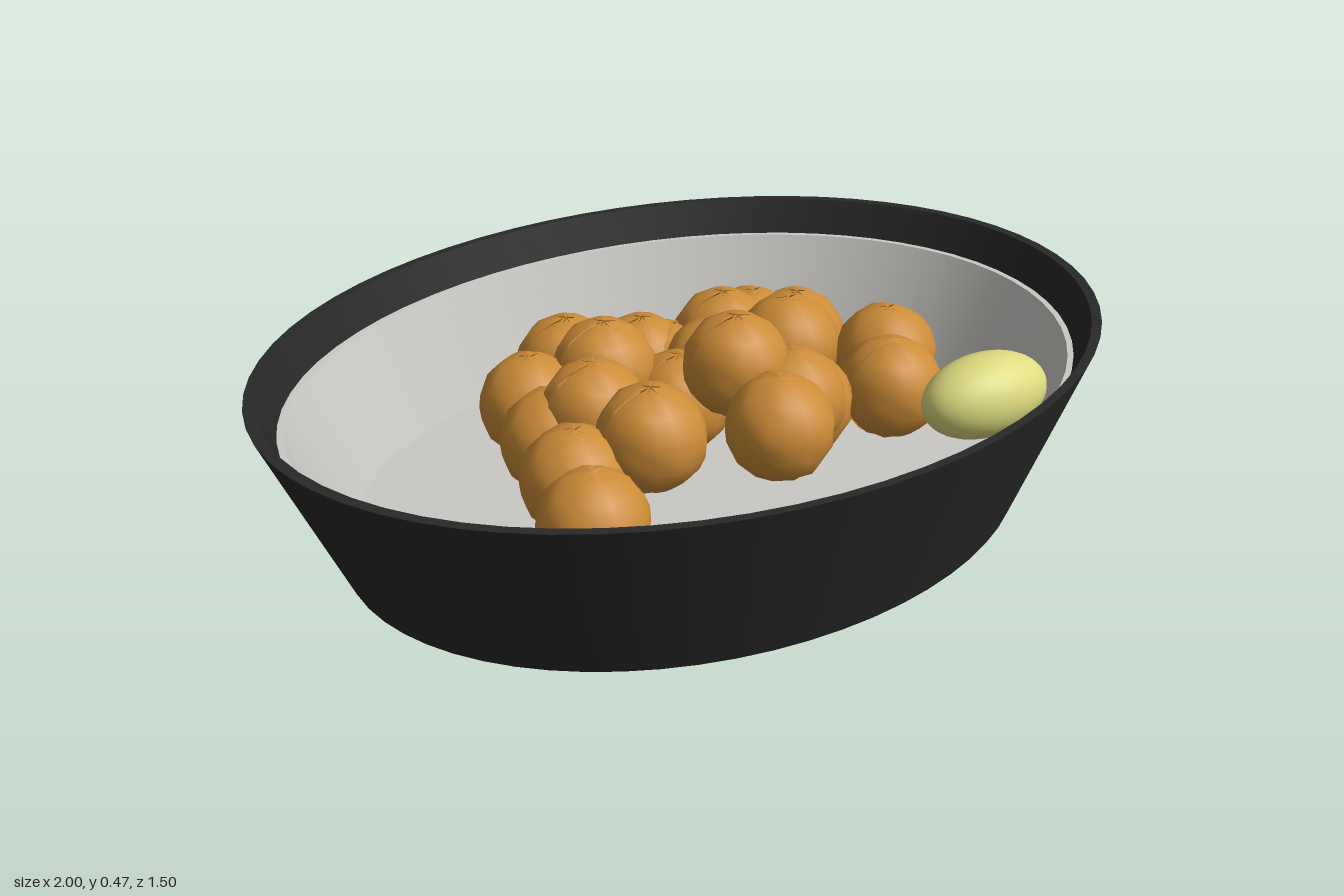
import * as THREE from 'three';

const black = new THREE.MeshStandardMaterial({ name: 'black glaze', color: 0x282828 });
const grey = new THREE.MeshStandardMaterial({ name: 'pale grey lining', color: 0xcbc9c4, side: THREE.DoubleSide });
const brown = new THREE.MeshStandardMaterial({ name: 'golden brown', color: 0xcc8c38, side: THREE.DoubleSide });
const yellow = new THREE.MeshStandardMaterial({ name: 'lemon yellow', color: 0xdedb80 });

// Small seeded generator
let seed = 7;
const rand = () => (seed = (seed * 16807) % 2147483647) / 2147483647;

// Oval band: each profile segment is its own lathe, so corners stay sharp
function ovalPart(name, profile, material) {
  const part = new THREE.Group();
  part.name = name;
  for (let i = 0; i + 1 < profile.length; i++) {
    const points = [profile[i], profile[i + 1]].map(([r, y]) => new THREE.Vector2(r, y));
    const mesh = new THREE.Mesh(new THREE.LatheGeometry(points, 64), material);
    mesh.name = name + 'Band';
    mesh.scale.z = 0.75;
    part.add(mesh);
  }
  return part;
}

// Slightly lumpy sphere; the seam is left unwelded to give a fine crack
function lumpyBall() {
  const geometry = new THREE.SphereGeometry(0.122, 16, 12);
  const pos = geometry.attributes.position;
  const v = new THREE.Vector3();
  for (let i = 0; i < pos.count; i++) {
    v.fromBufferAttribute(pos, i).multiplyScalar(0.97 + 0.06 * rand());
    pos.setXYZ(i, v.x, v.y, v.z);
  }
  geometry.computeVertexNormals();
  return geometry;
}

export function createModel() {
  const model = new THREE.Group();
  model.name = 'bowlOfFood';

  // Dish: base, flared wall, rim and dark inner lip
  model.add(ovalPart('dish', [[0, 0], [0.83, 0], [1, 0.42], [0.975, 0.42], [0.94, 0.335]], black));

  // Pale lining: ledge, sloping wall and floor
  model.add(ovalPart('lining', [[0.94, 0.335], [0.925, 0.335], [0.8, 0.06], [0, 0.06]], grey));

  // Heap of balls: x, y, z of each centre
  const heap = [
    [-0.17, 0.25, -0.3], [-0.305, 0.22, -0.215], [-0.13, 0.28, -0.185], [-0.32, 0.2, -0.07],
    [-0.235, 0.27, -0.03], [-0.36, 0.21, 0.12], [-0.19, 0.28, 0.15], [-0.385, 0.18, 0.25],
    [0.015, 0.22, -0.27], [0.075, 0.2, -0.235], [0.015, 0.2, -0.09], [0.13, 0.24, -0.13],
    [0.205, 0.27, -0.205], [0.29, 0.25, -0.21], [0.405, 0.23, -0.19], [0.285, 0.3, -0.045],
    [0.085, 0.342, 0.05], [0.53, 0.24, 0.015], [0.465, 0.22, 0.13], [0.085, 0.27, 0.235],
    [0.19, 0.26, 0.125], [0.235, 0.22, 0.09],
  ];
  const balls = new THREE.Group();
  balls.name = 'heap';
  const ball = lumpyBall();
  heap.forEach(([x, y, z], i) => {
    const mesh = new THREE.Mesh(ball, brown);
    mesh.name = 'ball' + (i + 1);
    mesh.position.set(x, y, z);
    mesh.rotation.y = i % 2 ? Math.PI : 0;
    balls.add(mesh);
  });
  model.add(balls);

  // Lemon resting against the wall
  const lemon = new THREE.Mesh(new THREE.SphereGeometry(1, 32, 20), yellow);
  lemon.name = 'lemon';
  lemon.scale.set(0.165, 0.098, 0.098);
  lemon.position.set(0.58, 0.26, 0.33);
  model.add(lemon);

  return model;
}
